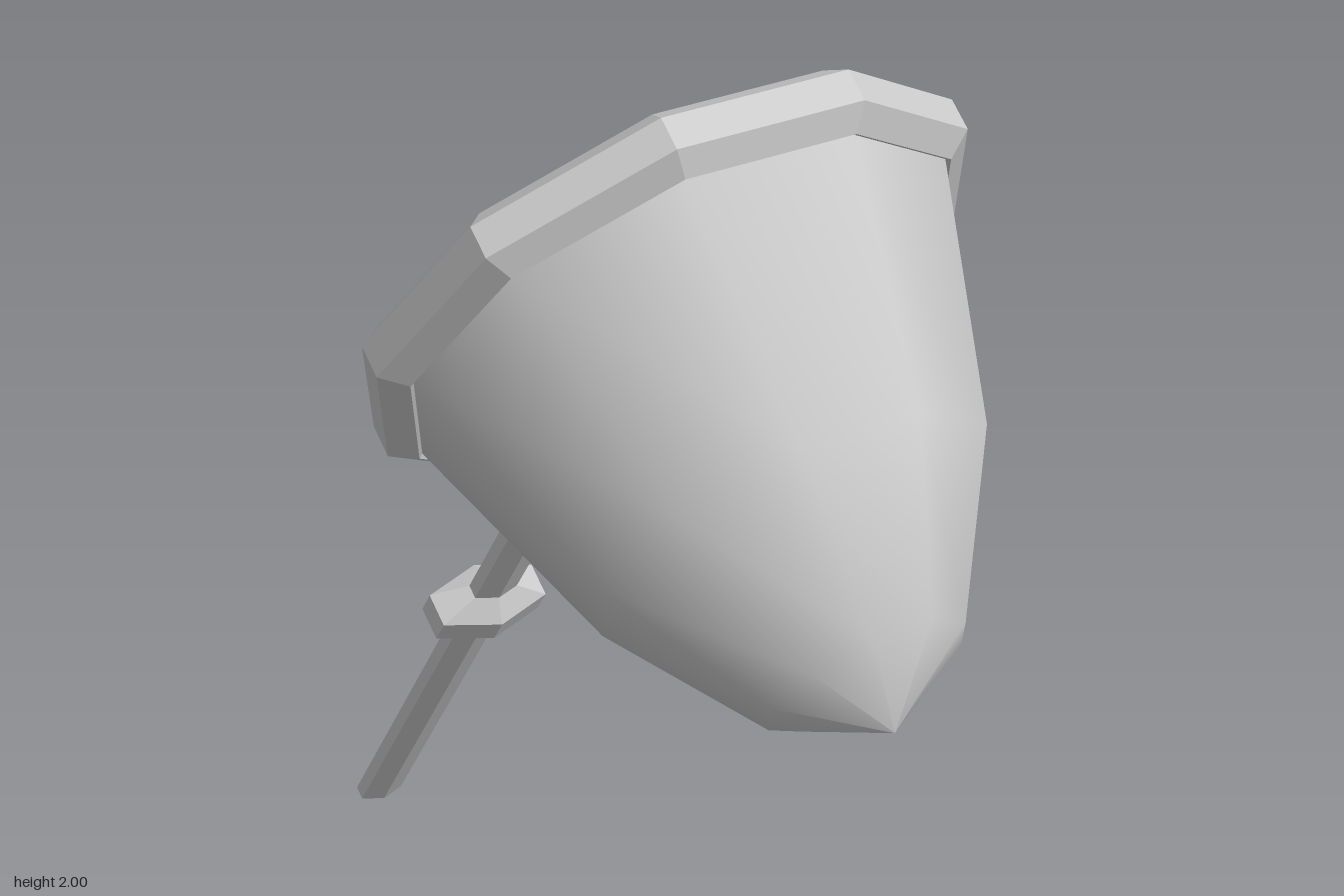
import * as THREE from 'three';

// Lathe from [radius, height] pairs
function lathe(name, points, sides, phiStart, options) {
  const geometry = new THREE.LatheGeometry(
    points.map(([r, y]) => new THREE.Vector2(r, y)), sides, phiStart);
  const material = new THREE.MeshStandardMaterial({ color: 0xcccccc, ...options });
  const mesh = new THREE.Mesh(geometry, material);
  mesh.name = name;
  return mesh;
}

export function createModel() {
  const model = new THREE.Group();
  model.name = 'handNet';

  // Everything is built upright along y, then leaned towards the front
  const net = new THREE.Group();
  net.name = 'leaningNet';
  net.rotation.x = THREE.MathUtils.degToRad(33.5);
  model.add(net);

  const planeZ = -0.707; // plane of hoop and handle
  const hoopY = 1.434;

  // Ten-sided hoop with a hexagonal section
  const hoop = lathe('hoop', [
    [0.506, -0.027], [0.506, 0.027], [0.463, 0.056],
    [0.42, 0.027], [0.42, -0.027], [0.463, -0.056], [0.506, -0.027],
  ], 10, Math.PI / 2, { flatShading: true });

  // Smooth open bag hanging from the hoop
  const bag = lathe('bag', [
    [0.457, 0.047], [0.327, 0.447], [0.165, 0.698], [0, 0.793],
  ], 10, Math.PI / 2, { side: THREE.DoubleSide });

  for (const part of [hoop, bag]) {
    part.geometry.rotateX(Math.PI / 2);
    part.position.set(0, hoopY, planeZ);
    net.add(part);
  }

  // Flattened hexagonal handle with closed ends
  const handle = lathe('handle', [
    [0, -0.45], [0.047, -0.45], [0.047, 0.985], [0, 0.985],
  ], 6, 0, { flatShading: true });

  // Collar around the handle
  const collar = lathe('collar', [
    [0.047, 0.272], [0.115, 0.308], [0.115, 0.36], [0.047, 0.396],
  ], 6, 0, { flatShading: true });

  for (const part of [handle, collar]) {
    part.geometry.scale(1, 1, 0.52);
    part.position.z = planeZ;
    net.add(part);
  }

  return model;
}
